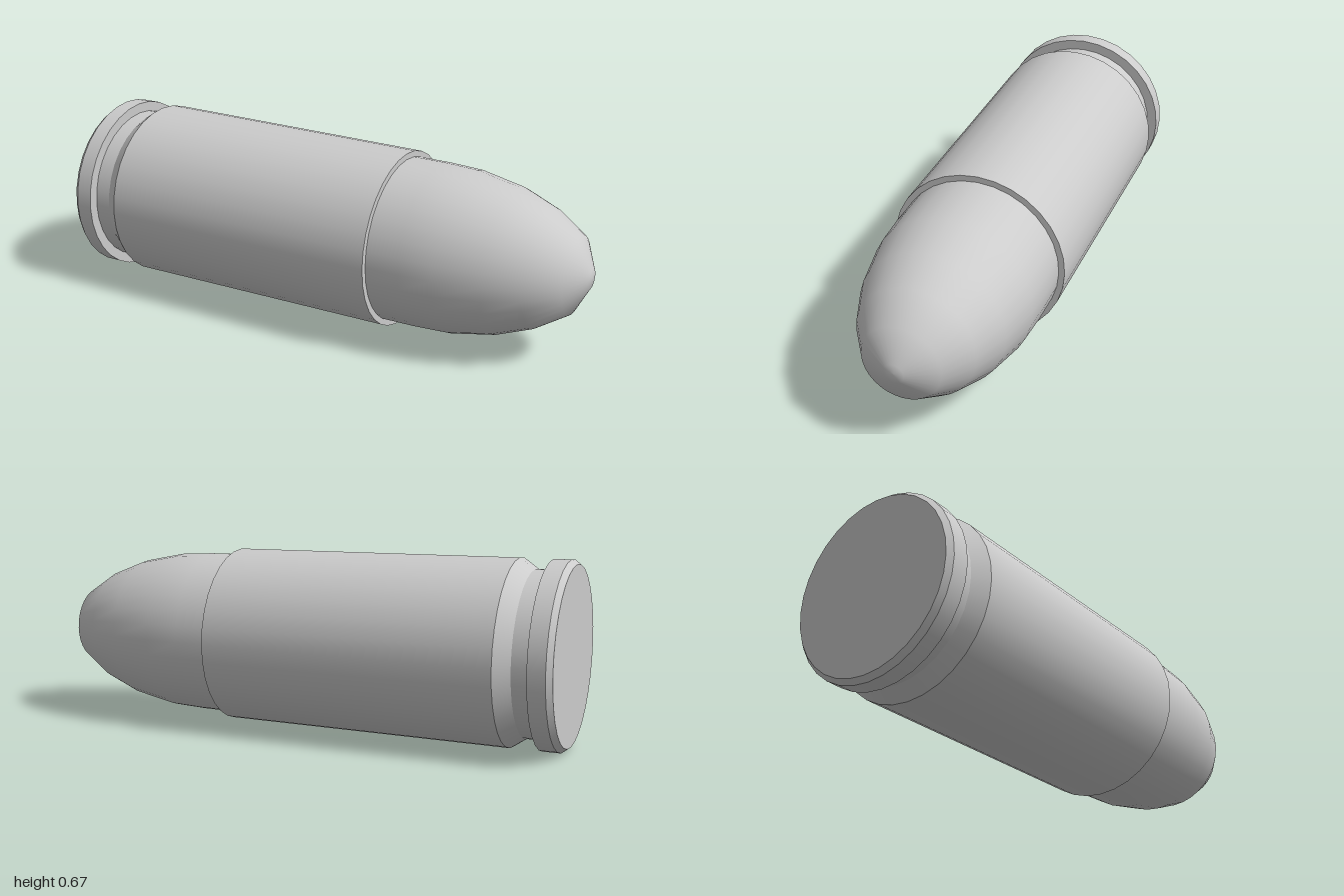
import * as THREE from 'three';
import { mergeGeometries } from 'three/addons/utils/BufferGeometryUtils.js';

const SIDES = 32;
const RADIUS = 0.336;

// Turns runs of [position along axis, radius]; each run is smooth, with a sharp edge between runs
function turned(name, runs, material) {
  const parts = runs.map(run =>
    new THREE.LatheGeometry(run.map(([x, r]) => new THREE.Vector2(r, x)), SIDES));
  const mesh = new THREE.Mesh(mergeGeometries(parts), material);
  mesh.name = name;
  return mesh;
}

// Splits a profile into one run per straight segment
const sharp = profile => profile.slice(1).map((p, i) => [profile[i], p]);

export function createModel() {
  const group = new THREE.Group();
  group.name = 'cartridge';
  const material = new THREE.MeshStandardMaterial({ color: 0xcccccc });

  // Flat base and chamfered rim
  const rim = turned('rim', sharp([
    [-1, 0], [-1, 0.32], [-0.98, RADIUS], [-0.917, RADIUS], [-0.917, 0.298]
  ]), material);

  // Extractor groove and its bevel
  const groove = turned('extractorGroove', sharp([
    [-0.917, 0.298], [-0.855, 0.298], [-0.8, RADIUS]
  ]), material);

  // Slightly tapered case with a stepped mouth
  const casing = turned('casing', sharp([
    [-0.8, RADIUS], [0.285, 0.327], [0.285, 0.304]
  ]), material);

  // Rounded bullet
  const bullet = turned('bullet', [[
    [0.285, 0.305], [0.41, 0.304], [0.535, 0.298], [0.7, 0.265],
    [0.83, 0.214], [0.943, 0.141], [0.998, 0.035], [1, 0]
  ]], material);

  // Lay the axis along x and rest it on the ground
  const body = new THREE.Group();
  body.name = 'body';
  body.add(rim, groove, casing, bullet);
  body.rotation.z = -Math.PI / 2;
  body.position.y = RADIUS;
  group.add(body);
  return group;
}
